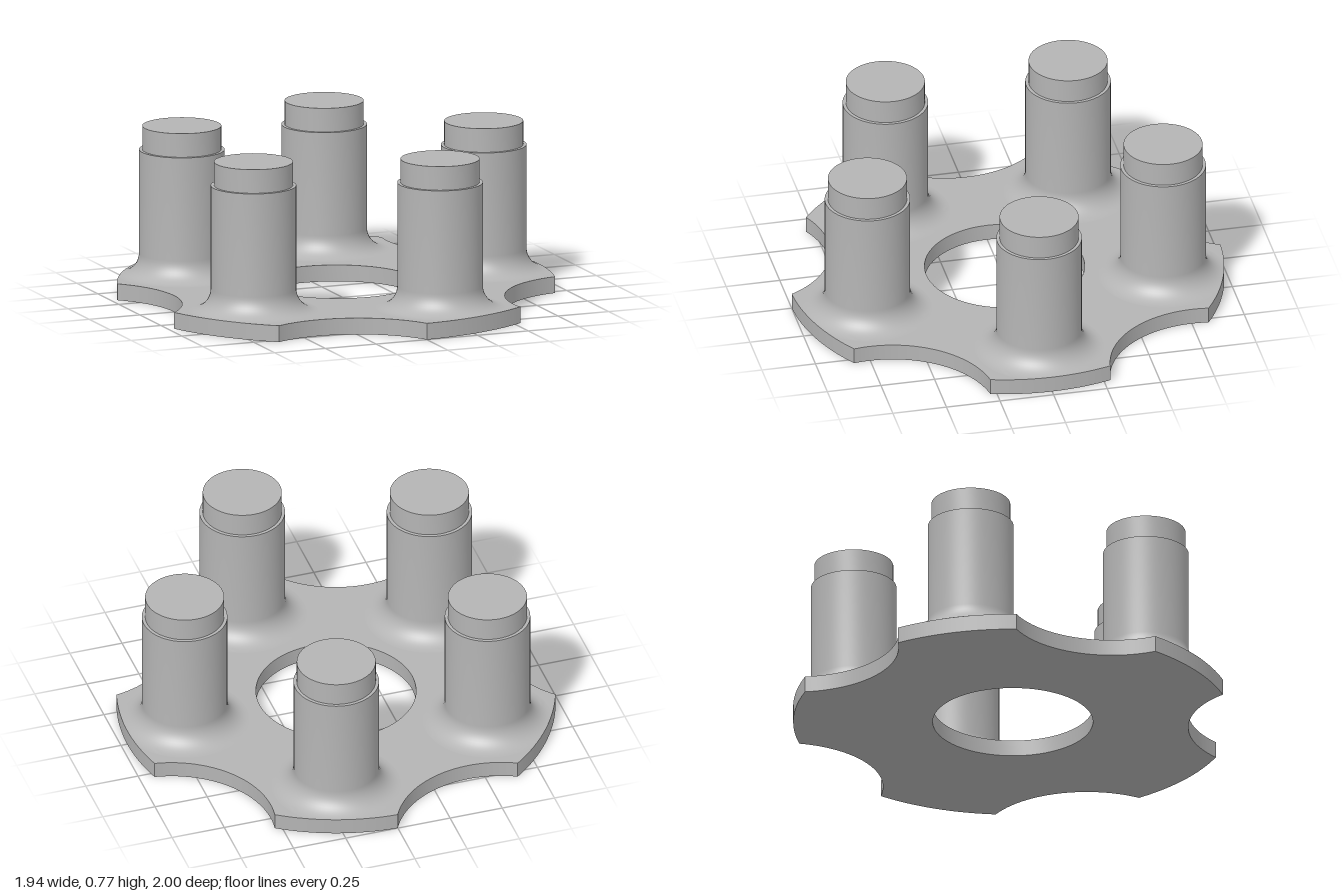
import * as THREE from 'three';
import { toCreasedNormals } from 'three/addons/utils/BufferGeometryUtils.js';

const COUNT = 5;
const STEP = (Math.PI * 2) / COUNT;
const RIM = 1.0;          // outer radius of the plate
const LOBE = 0.2838;      // half angle of each rim arc
const PLATE = 0.076;      // plate thickness
const POST_RING = 0.725;  // distance of the posts from the hub centre
const FILLET = 0.1;

// Five rim arcs joined by concave scallops, with a round centre hole
function plateGeometry() {
  const half = STEP / 2 - LOBE;
  const scoopAt = 1.276;
  const dx = scoopAt - RIM * Math.cos(half), dy = RIM * Math.sin(half);
  const scoopR = Math.hypot(dx, dy), sweep = Math.atan2(dy, dx);
  const shape = new THREE.Shape();
  for (let i = 0; i < COUNT; i++) {
    const a = i * STEP, b = a + STEP / 2;
    shape.absarc(0, 0, RIM, a - LOBE, a + LOBE, false);
    shape.absarc(scoopAt * Math.cos(b), scoopAt * Math.sin(b), scoopR,
      b + Math.PI + sweep, b + Math.PI - sweep, true);
  }
  const hole = new THREE.Path();
  hole.absarc(0, 0, 0.365, 0, Math.PI * 2, true);
  shape.holes.push(hole);
  const geo = new THREE.ExtrudeGeometry(shape, { depth: PLATE, bevelEnabled: false, curveSegments: 32 });
  geo.rotateX(-Math.PI / 2);
  return toCreasedNormals(geo, 0.4);
}

// Stepped stud with a filleted foot, trimmed where the foot passes the rim
function postGeometry() {
  const r = 0.195, tip = 0.18, shoulder = 0.657, top = 0.767;
  const profile = [];
  for (let i = 0; i <= 12; i++) {
    const t = (i / 12) * Math.PI / 2;
    profile.push(new THREE.Vector2(
      r + FILLET * (1 - Math.sin(t)), PLATE + FILLET * (1 - Math.cos(t))));
  }
  profile.push(new THREE.Vector2(r, shoulder), new THREE.Vector2(tip, shoulder),
    new THREE.Vector2(tip, top), new THREE.Vector2(0, top));
  const geo = toCreasedNormals(new THREE.LatheGeometry(profile, 64), 0.5);
  geo.translate(POST_RING, 0, 0);
  const pos = geo.attributes.position;
  for (let i = 0; i < pos.count; i++) {
    const x = pos.getX(i), z = pos.getZ(i), d = Math.hypot(x, z);
    if (d > RIM) pos.setXYZ(i, x * RIM / d, pos.getY(i), z * RIM / d);
  }
  return geo;
}

export function createModel() {
  const metal = new THREE.MeshStandardMaterial({ color: 0xb4b4b4 });
  metal.name = 'plain grey';

  const group = new THREE.Group();
  group.name = 'studdedHub';

  const plate = new THREE.Mesh(plateGeometry(), metal);
  plate.name = 'scallopedPlate';
  group.add(plate);

  const post = postGeometry();
  for (let i = 0; i < COUNT; i++) {
    const stud = new THREE.Mesh(post, metal);
    stud.name = `stud${i + 1}`;
    stud.rotation.y = i * STEP;
    group.add(stud);
  }

  // Centre the uneven five-fold outline on x
  group.children.forEach((part) => { part.position.x = -0.03; });
  return group;
}
